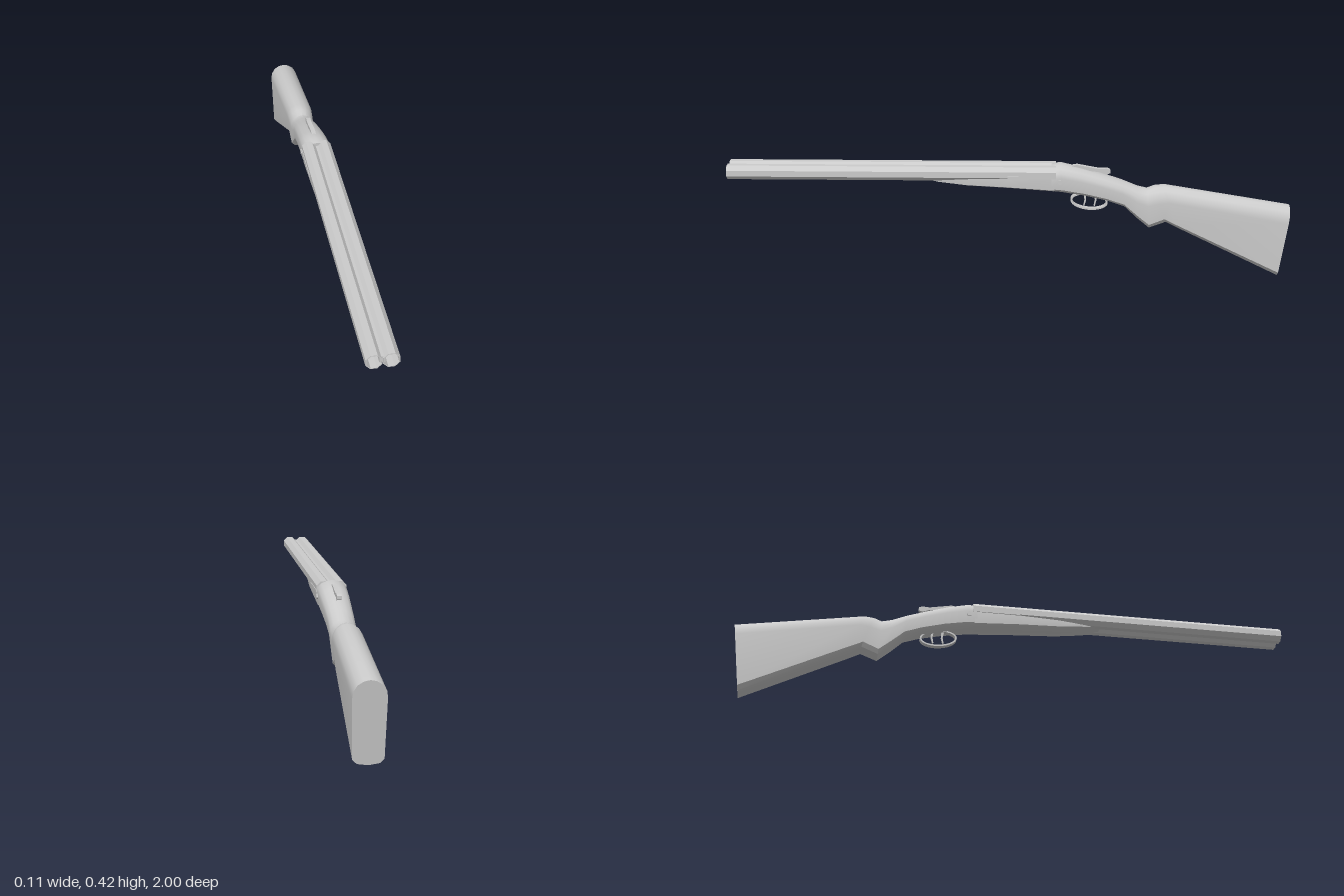
import * as THREE from 'three';
import { toCreasedNormals } from 'three/addons/utils/BufferGeometryUtils.js';

const material = new THREE.MeshStandardMaterial({ color: 0xcccccc, side: THREE.DoubleSide });

function addPart(group, name, geometry, crease = 0.6) {
  const mesh = new THREE.Mesh(toCreasedNormals(geometry, crease), material);
  mesh.name = name;
  group.add(mesh);
  return mesh;
}

// Skin capped rings along -z. Section: [zTop, yTop, zBottom, yBottom, halfWidth].
// Half outline: [width fraction, inset from the top or bottom edge as a height fraction, edge].
function loft(sections, half) {
  const ring = [...half, ...half.slice(1, -1).reverse().map(([x, d, e]) => [-x, d, e])];
  const n = ring.length;
  const pos = [];
  const index = [];
  for (const [zt, yt, zb, yb, w] of sections) {
    for (const [x, inset, edge] of ring) {
      const round = Math.min(inset, inset * 0.13 / (yt - yb));
      const t = edge === 'top' ? round : 1 - round;
      pos.push(x * w, yt + (yb - yt) * t, zt + (zb - zt) * t);
    }
  }
  const last = (sections.length - 1) * n;
  for (let i = 0; i < last; i += n) {
    for (let j = 0; j < n; j++) {
      const k = (j + 1) % n;
      index.push(i + j, i + k, i + n + j, i + k, i + n + k, i + n + j);
    }
  }
  for (let j = 1; j < n - 1; j++) {
    index.push(0, j + 1, j, last, last + j, last + j + 1);
  }
  const geo = new THREE.BufferGeometry();
  geo.setAttribute('position', new THREE.Float32BufferAttribute(pos, 3));
  geo.setIndex(index);
  return geo;
}

// Extrude a side profile (u = -z, v = y) across x, centred.
function sideExtrude(shape, width) {
  const geo = new THREE.ExtrudeGeometry(shape, { depth: width, bevelEnabled: false, curveSegments: 12 });
  return geo.translate(0, 0, -width / 2).rotateY(Math.PI / 2);
}

const profile = (points) => new THREE.Shape(points.map(([u, v]) => new THREE.Vector2(u, v)));

function box(w, h, d, x, y, z) {
  return new THREE.BoxGeometry(w, h, d).translate(x, y, z);
}

export function createModel() {
  const group = new THREE.Group();

  // Receiver, wrist, pistol grip and buttstock in one flowing body
  const bodyHalf = [
    [0, 0, 'top'], [0.36, 0.03, 'top'], [0.72, 0.12, 'top'], [0.94, 0.26, 'top'], [1, 0.42, 'top'],
    [0.92, 0.15, 'bottom'], [0.66, 0.04, 'bottom'], [0, 0, 'bottom'],
  ];
  addPart(group, 'receiverAndStock', loft([
    [-0.15, 0.412, -0.15, 0.32, 0.052],
    [-0.18, 0.418, -0.19, 0.315, 0.052],
    [-0.25, 0.402, -0.27, 0.302, 0.05],
    [-0.33, 0.378, -0.35, 0.283, 0.047],
    [-0.40, 0.355, -0.41, 0.262, 0.045],
    [-0.455, 0.333, -0.455, 0.218, 0.045],
    [-0.49, 0.325, -0.50, 0.18, 0.045],
    [-0.515, 0.335, -0.56, 0.203, 0.047],
    [-0.55, 0.339, -0.60, 0.183, 0.049],
    [-1, 0.265, -0.967, 0.002, 0.052],
  ], bodyHalf));

  // Fore-end under the barrels
  const foreHalf = [
    [0, 0, 'top'], [0.98, 0, 'top'], [1, 0.1, 'top'],
    [0.92, 0.15, 'bottom'], [0.66, 0.04, 'bottom'], [0, 0, 'bottom'],
  ];
  addPart(group, 'foreEnd', loft([
    [0.31, 0.376, 0.31, 0.364, 0.03],
    [0.25, 0.38, 0.25, 0.351, 0.04],
    [0.15, 0.382, 0.15, 0.339, 0.046],
    [0, 0.384, 0, 0.331, 0.05],
    [-0.16, 0.386, -0.16, 0.319, 0.052],
  ], foreHalf));

  // Paired octagonal barrels, bored through to the breech
  const barrelProfile = [[0, -0.165], [0.0275, -0.165], [0.0275, 1], [0.0245, 1], [0.0245, -0.15], [0, -0.15]]
    .map(([r, y]) => new THREE.Vector2(r, y));
  for (const side of [1, -1]) {
    const name = side > 0 ? 'left' : 'right';
    const barrel = new THREE.LatheGeometry(barrelProfile, 8)
      .rotateY(Math.PI / 8).rotateX(Math.PI / 2).translate(side * 0.0265, 0.386, 0);
    addPart(group, name + 'Barrel', barrel);

    // Side rail and hinge pin
    addPart(group, name + 'SideRail', box(0.008, 0.009, 0.17, side * 0.05, 0.377, -0.08));
    const pin = new THREE.CylinderGeometry(0.009, 0.009, 0.008, 10)
      .rotateZ(Math.PI / 2).translate(side * 0.051, 0.362, -0.18);
    addPart(group, name + 'HingePin', pin);
  }

  // Rib filling the valley between the barrels
  addPart(group, 'rib', box(0.018, 0.023, 1.155, 0, 0.3885, 0.4175));

  // Opening lever behind the breech
  addPart(group, 'topLever', sideExtrude(profile([
    [0.2, 0.405], [0.24, 0.412], [0.32, 0.397], [0.345, 0.399], [0.358, 0.394],
    [0.358, 0.382], [0.345, 0.377], [0.325, 0.385], [0.25, 0.394],
  ]), 0.016));

  // Trigger guard loop
  const loop = new THREE.Shape().absellipse(0.285, 0.276, 0.067, 0.032, 0, Math.PI * 2, false, -0.1);
  loop.holes.push(new THREE.Path().absellipse(0.285, 0.276, 0.061, 0.026, 0, Math.PI * 2, true, -0.1));
  addPart(group, 'triggerGuard', sideExtrude(loop, 0.02));

  // Two curved triggers
  for (const [name, u] of [['frontTrigger', 0.268], ['rearTrigger', 0.305]]) {
    addPart(group, name, sideExtrude(profile([
      [u - 0.004, 0.305], [u + 0.001, 0.28], [u - 0.003, 0.258],
      [u + 0.001, 0.257], [u + 0.007, 0.28], [u + 0.006, 0.305],
    ]), 0.009));
  }

  return group;
}
